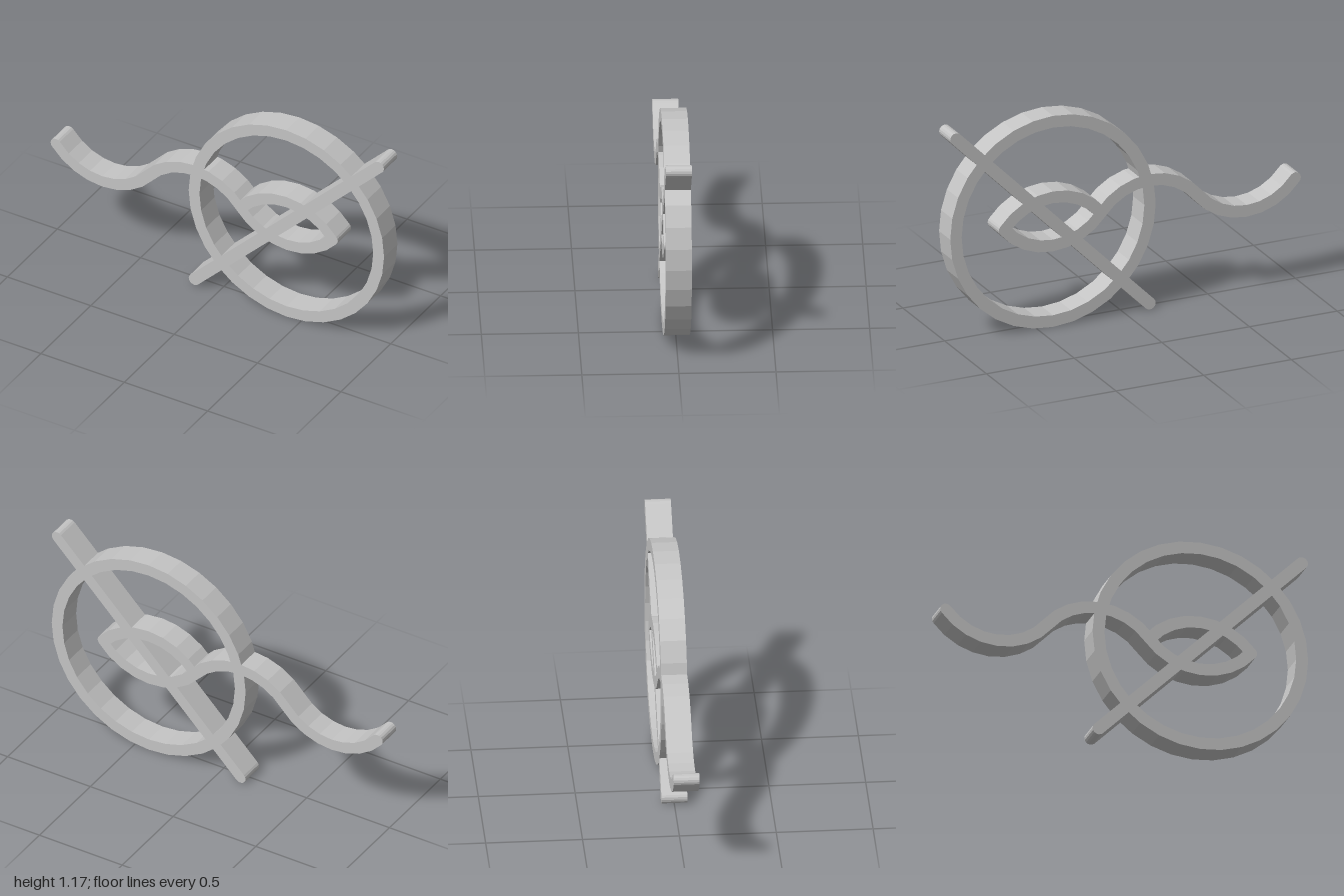
import * as THREE from 'three';

const DEPTH = 0.134;   // thickness along z
const HALF = 0.0325;   // half of the band width
const MID_Y = 0.588;   // height of the wave's axis and the ring's centre
const RING_X = 0.414;

// Flat faceted plate of constant depth, centred on z = 0
function plate(name, shape, material, curveSegments = 8) {
  const geometry = new THREE.ExtrudeGeometry(shape, { depth: DEPTH, bevelEnabled: false, curveSegments });
  geometry.translate(0, 0, -DEPTH / 2);
  const mesh = new THREE.Mesh(geometry, material);
  mesh.name = name;
  return mesh;
}

// Outline of a band following a path, with rounded ends
function bandShape(path) {
  const last = path.length - 1;
  const angles = path.map((p, i) => {
    const a = path[Math.max(i - 1, 0)], b = path[Math.min(i + 1, last)];
    return Math.atan2(b.y - a.y, b.x - a.x);
  });
  const around = (i, turn) => new THREE.Vector2(
    path[i].x + HALF * Math.cos(angles[i] + turn),
    path[i].y + HALF * Math.sin(angles[i] + turn));
  const outline = [];
  for (let i = 0; i <= last; i++) outline.push(around(i, -Math.PI / 2));
  for (let k = 1; k < 8; k++) outline.push(around(last, -Math.PI / 2 + k * Math.PI / 8));
  for (let i = last; i >= 0; i--) outline.push(around(i, Math.PI / 2));
  for (let k = 1; k < 8; k++) outline.push(around(0, Math.PI / 2 + k * Math.PI / 8));
  return new THREE.Shape(outline);
}

// One circular hump (sign 1) or dip (sign -1) of the wave
const SPAN = 0.2763, RISE = 0.134;
function wavePoints(cx, sign, steps = 8) {
  const radius = (SPAN * SPAN + RISE * RISE) / (2 * RISE);
  const half = Math.asin(SPAN / radius);
  const points = [];
  for (let i = 0; i <= steps; i++) {
    const t = half * (2 * i / steps - 1);
    points.push(new THREE.Vector2(
      cx + radius * Math.sin(t),
      MID_Y + sign * (RISE - radius + radius * Math.cos(t))));
  }
  return points;
}

export function createModel() {
  const group = new THREE.Group();
  group.name = 'waveAndRingSymbol';
  const grey = new THREE.MeshStandardMaterial({ color: 0xc4c4c4 });
  grey.name = 'light grey';

  // Ring with 32 sides
  const circle = (radius) => Array.from({ length: 32 }, (_, i) => new THREE.Vector2(
    RING_X + radius * Math.cos(i * Math.PI / 16),
    MID_Y + radius * Math.sin(i * Math.PI / 16)));
  const ring = new THREE.Shape(circle(0.586));
  ring.holes.push(new THREE.Path(circle(0.521)));
  group.add(plate('ring', ring, grey));

  // Diagonal bar through the ring's centre
  const reach = 0.553;
  group.add(plate('diagonalBar', bandShape([
    new THREE.Vector2(RING_X - reach, MID_Y - reach),
    new THREE.Vector2(RING_X + reach, MID_Y + reach),
  ]), grey));

  // Wave: dip, hump, dip, ending at the right tip of the eye
  const wave = [];
  [-1, 1, -1].forEach((sign, i) => {
    const points = wavePoints(RING_X - (2 - i) * 2 * SPAN, sign);
    wave.push(...(i ? points.slice(1) : points));
  });
  group.add(plate('wave', bandShape(wave), grey));

  // Upper arch closing the eye over the last dip
  group.add(plate('eyeArch', bandShape(wavePoints(RING_X, 1)), grey));

  return group;
}
